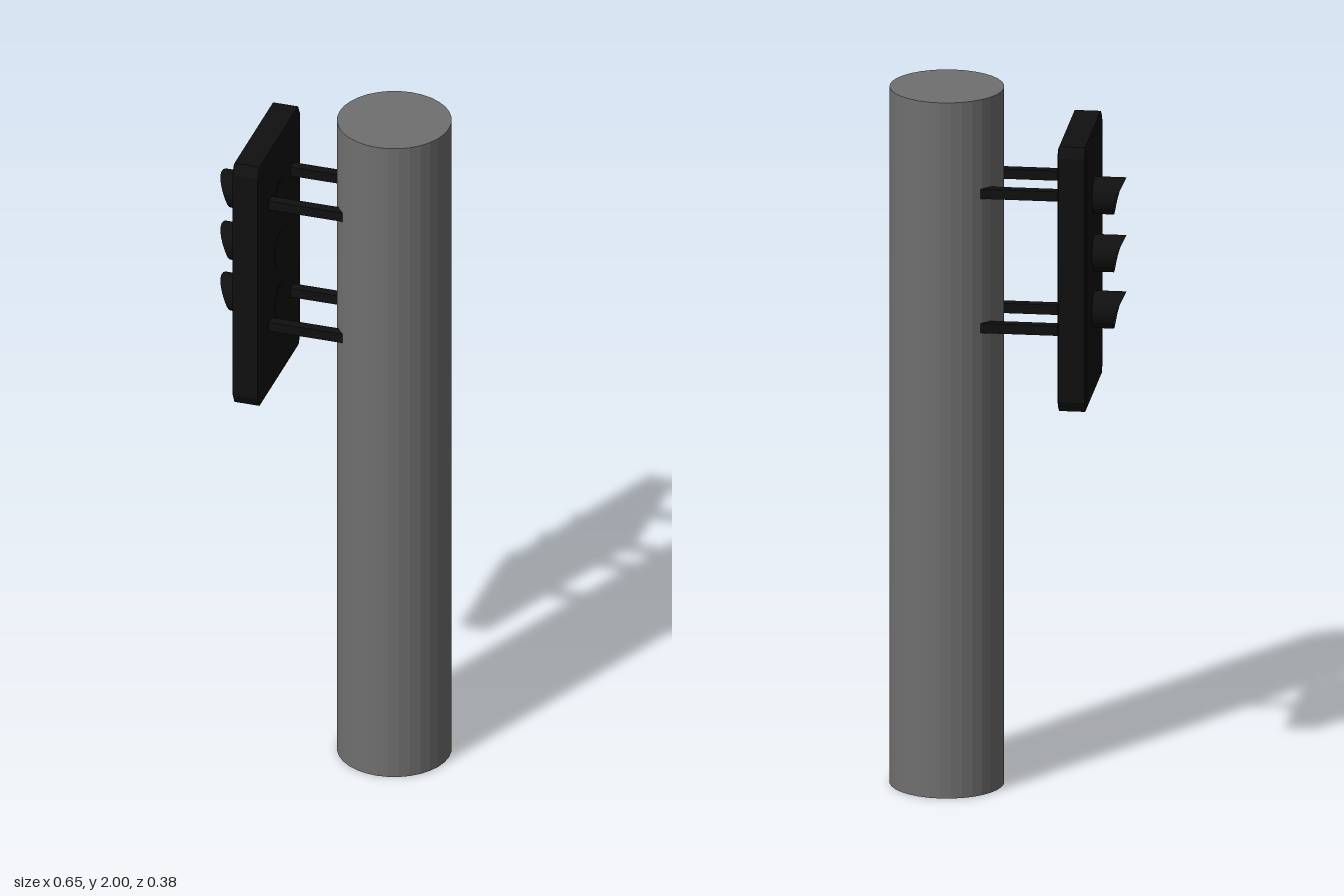
import * as THREE from 'three';
import { toCreasedNormals } from 'three/addons/utils/BufferGeometryUtils.js';

const material = (color, flatShading = false) => new THREE.MeshStandardMaterial({ color, flatShading });

function add(parent, name, geometry, mat, x, y, z) {
  const mesh = new THREE.Mesh(geometry, mat);
  mesh.name = name;
  mesh.position.set(x, y, z);
  parent.add(mesh);
  return mesh;
}

// Plate with clipped corners and a slight bevel, thickness along x
function plateGeometry(width, height, thickness) {
  const w = width / 2, h = height / 2, cz = 0.016, cy = 0.03, bevel = 0.004;
  const outline = [
    [-w + cz, -h], [w - cz, -h], [w, -h + cy], [w, h - cy],
    [w - cz, h], [-w + cz, h], [-w, h - cy], [-w, -h + cy],
  ].map(([a, b]) => new THREE.Vector2(a, b));
  const geometry = new THREE.ExtrudeGeometry(new THREE.Shape(outline), {
    depth: thickness - 2 * bevel, bevelEnabled: true, bevelSegments: 1,
    bevelThickness: bevel, bevelSize: 0.01, bevelOffset: -0.01,
  });
  geometry.translate(0, 0, bevel - thickness / 2);
  return geometry.rotateY(Math.PI / 2);
}

// Tube facing -x whose front rim sweeps forward towards the top
function visorGeometry(back, front, lens) {
  const R = 0.052, r = 0.046;
  const profile = [[0, back], [R, back], [R, front], [r, front], [r, lens], [0, lens]]
    .map(([a, b]) => new THREE.Vector2(a, -b));
  const geometry = new THREE.LatheGeometry(profile, 32).rotateZ(Math.PI / 2);
  const p = geometry.attributes.position;
  for (let i = 0; i < p.count; i++) {
    if (Math.abs(p.getX(i) - front) > 1e-4) continue;
    const t = Math.max(0, (p.getY(i) / R + 1) / 2);
    p.setX(i, front - 0.033 * Math.pow(t, 1.8));
  }
  return toCreasedNormals(geometry, 0.6);
}

export function createModel() {
  const model = new THREE.Group();
  model.name = 'trafficSignal';
  const black = material(0x101010);

  // Pole
  add(model, 'pole', new THREE.CylinderGeometry(0.158, 0.158, 2, 32), material(0x707070, true), 0.168, 1, -0.005);

  // Backing plate
  add(model, 'backingPlate', plateGeometry(0.38, 0.76, 0.08), black, -0.2, 1.51, 0);

  // Four mounting arms running into the pole
  for (const y of [1.729, 1.343]) {
    for (const z of [0.089, -0.106]) {
      add(model, 'mountingArm', new THREE.BoxGeometry(0.25, 0.028, 0.028), black, -0.055, y, z);
    }
  }

  // Three lamps, each a hooded tube with a lens inside
  const visor = visorGeometry(-0.159, -0.295, -0.242);
  const lens = new THREE.CylinderGeometry(0.046, 0.046, 0.004, 32).rotateZ(Math.PI / 2);
  [[1.701, 0xa01010], [1.535, 0xb08010], [1.373, 0x108030]].forEach(([y, color]) => {
    const lamp = new THREE.Group();
    lamp.name = 'lamp';
    add(lamp, 'visor', visor, black, 0, 0, 0);
    add(lamp, 'lens', lens, material(color), -0.243, 0, 0);
    lamp.position.y = y;
    model.add(lamp);
  });

  return model;
}
